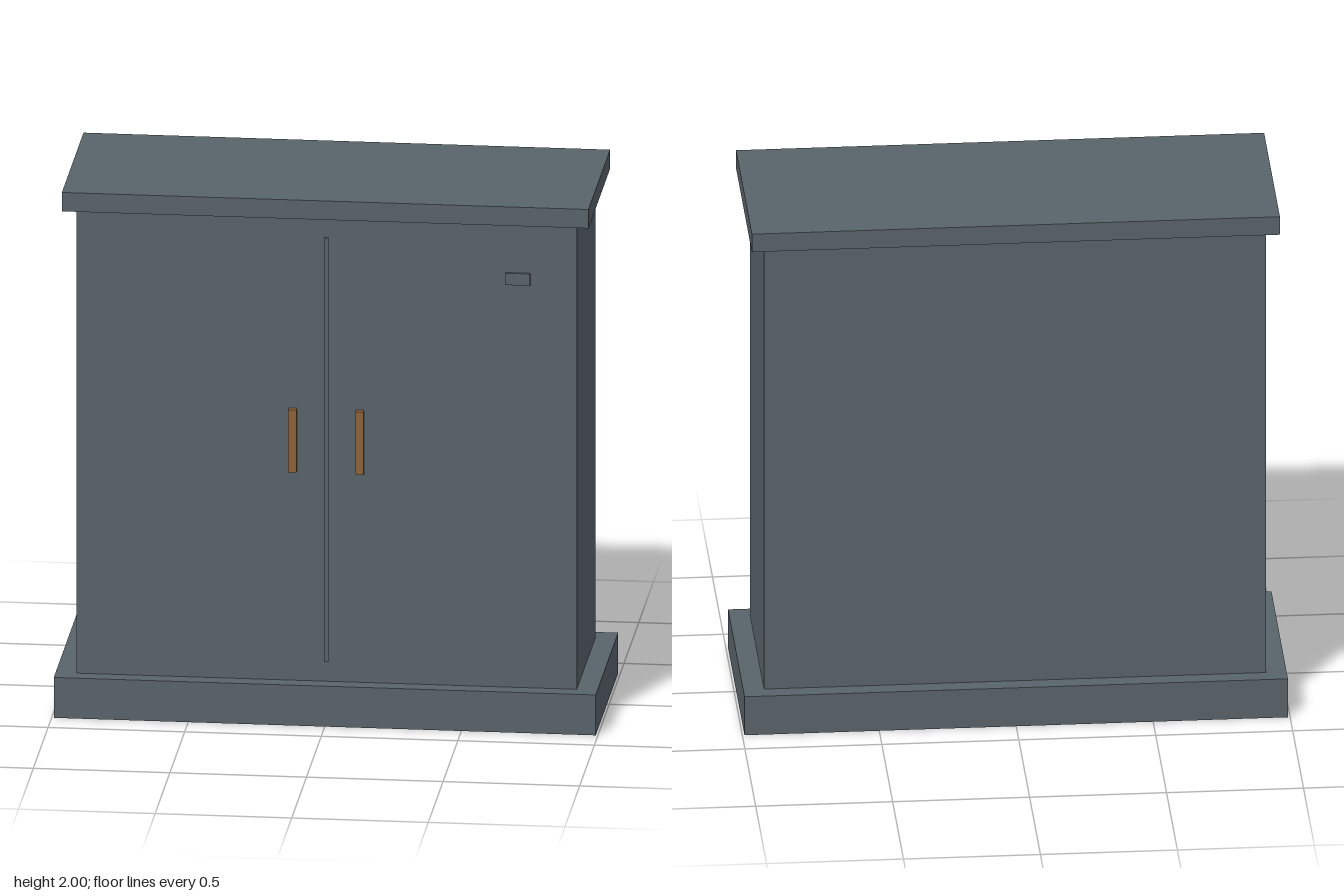
import * as THREE from 'three';

export function createModel() {
  const group = new THREE.Group();
  const slate = new THREE.MeshStandardMaterial({ color: 0x59636b });
  slate.name = 'slate grey';
  const bronze = new THREE.MeshStandardMaterial({ color: 0x8c6239 });
  bronze.name = 'bronze';

  // Box given by its centre x, bottom and top y, back and front z
  function box(name, material, x, width, y0, y1, z0, z1) {
    const mesh = new THREE.Mesh(new THREE.BoxGeometry(width, y1 - y0, z1 - z0), material);
    mesh.position.set(x, (y0 + y1) / 2, (z0 + z1) / 2);
    mesh.name = name;
    group.add(mesh);
  }

  // Cabinet shell
  box('plinth', slate, 0, 1.984, 0, 0.154, -0.381, 0.381);
  box('body', slate, 0, 1.832, 0.154, 1.928, -0.32, 0.32);
  box('topSlab', slate, 0, 1.928, 1.928, 2, -0.366, 0.366);

  // Door details
  box('doorSeam', slate, 0, 0.016, 0.23, 1.847, 0.318, 0.33);
  box('badgePlate', slate, 0.7, 0.092, 1.69, 1.735, 0.318, 0.329);
  for (const [name, side] of [['rightHandle', -1], ['leftHandle', 1]]) {
    box(name, bronze, side * 0.123, 0.03, 0.953, 1.192, 0.318, 0.344);
  }
  return group;
}
